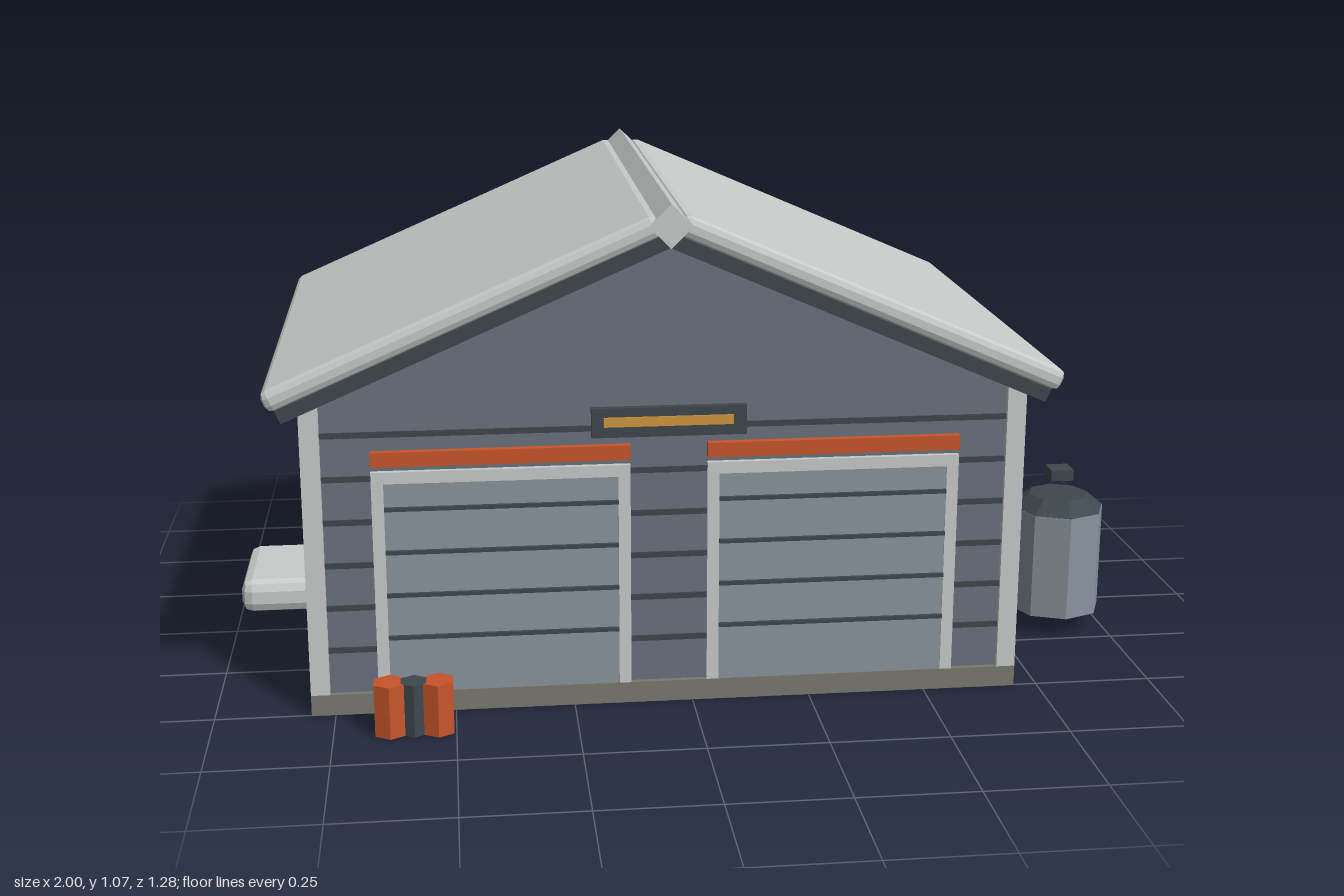
import * as THREE from 'three';
import { RoundedBoxGeometry } from 'three/addons/geometries/RoundedBoxGeometry.js';

const paint = (name, color) => new THREE.MeshStandardMaterial({ name, color, flatShading: true });

export function createModel() {
  const model = new THREE.Group();
  model.name = 'garage';

  const wall = paint('wall slate', 0x69727f);
  const trim = paint('light trim', 0xc9cbcb);
  const steel = paint('steel grey', 0x8a959e);
  const dark = paint('dark grey', 0x3f484e);
  const orange = paint('orange', 0xc8552b);
  const amber = paint('amber', 0xd0963f);
  const concrete = paint('concrete', 0x7a786f);

  const add = (name, geometry, material, parent = model) => {
    const mesh = new THREE.Mesh(geometry, material);
    mesh.name = name;
    parent.add(mesh);
    return mesh;
  };
  // Box given by its limits on each axis
  const box = (name, material, [x0, x1], [y0, y1], [z0, z1], parent = model) => {
    const mesh = add(name, new THREE.BoxGeometry(x1 - x0, y1 - y0, z1 - z0), material, parent);
    mesh.position.set((x0 + x1) / 2, (y0 + y1) / 2, (z0 + z1) / 2);
    return mesh;
  };

  const cx = -0.05, cz = -0.046;   // centre of the building
  const halfX = 0.75, halfZ = 0.549;
  const baseTop = 0.045, apex = 0.98;
  const pitch = 0.41, slope = Math.tan(pitch);

  // Foundation
  box('foundation', concrete, [cx - halfX, cx + halfX], [0, baseTop], [cz - halfZ, cz + halfZ]);

  // Gabled walls
  const inset = 0.012, wx = halfX - inset, wz = halfZ - inset;
  const eave = apex + 0.004 - slope * wx;
  const gable = new THREE.Shape([[-wx, baseTop], [wx, baseTop], [wx, eave], [0, apex + 0.004], [-wx, eave]]
    .map(([x, y]) => new THREE.Vector2(x, y)));
  add('walls', new THREE.ExtrudeGeometry(gable, { depth: wz * 2, bevelEnabled: false }), wall)
    .position.set(cx, 0, cz - wz);

  // Siding lines around all four walls
  for (let i = 0; i < 6; i++) {
    const y = 0.14 + i * 0.0925;
    box('sidingLine', dark, [cx - wx - 0.004, cx + wx + 0.004], [y - 0.006, y + 0.006],
      [cz - wz - 0.004, cz + wz + 0.004]);
  }

  // Corner posts
  for (const sx of [-1, 1]) for (const sz of [-1, 1]) {
    const post = add('cornerPost', new THREE.BoxGeometry(0.04, 0.625, 0.04), trim);
    post.position.set(cx + sx * (halfX - 0.02), baseTop + 0.3125, cz + sz * (halfZ - 0.02));
  }

  // Roof: a chamfered slab over a dark underlayer on each side
  for (const side of [1, -1]) {
    const half = new THREE.Group();
    half.name = side > 0 ? 'leftRoof' : 'rightRoof';
    half.position.set(cx, apex, cz);
    half.rotation.y = side > 0 ? 0 : Math.PI;
    const tilt = new THREE.Group();
    tilt.rotation.z = -pitch;
    half.add(tilt);
    add('roofSlab', new RoundedBoxGeometry(0.865, 0.046, 1.18, 1, 0.015), trim, tilt)
      .position.set(0.4325, 0.053, 0);
    box('roofUnderlayer', dark, [0, 0.852], [0, 0.034], [-0.575, 0.575], tilt);
    model.add(half);
  }
  const ridge = add('ridgeCap', new THREE.BoxGeometry(0.064, 0.064, 1.18), trim);
  ridge.position.set(cx, 1.026, cz);
  ridge.rotation.z = Math.PI / 4;

  // Two garage doors with frames, panel grooves and lintels
  const front = cz + wz;
  for (const x0 of [-0.66, 0.03]) {
    const door = new THREE.Group();
    door.name = 'garageDoor';
    const x1 = x0 + 0.53, z = [front - 0.01, front + 0.012];
    box('doorPanel', steel, [x0 + 0.024, x1 - 0.024], [baseTop, 0.502], [front - 0.01, front + 0.009], door);
    box('frameSide', trim, [x0, x0 + 0.025], [baseTop, 0.525], z, door);
    box('frameSide', trim, [x1 - 0.025, x1], [baseTop, 0.525], z, door);
    box('frameTop', trim, [x0 + 0.025, x1 - 0.025], [0.5, 0.525], z, door);
    for (let i = 0; i < 4; i++) {
      const y = 0.167 + i * 0.093;
      box('panelGroove', dark, [x0 + 0.025, x1 - 0.025], [y - 0.004, y + 0.004], [front, front + 0.017], door);
    }
    box('lintel', orange, [x0, x1], [0.537, 0.568], [front - 0.01, front + 0.017], door);
    model.add(door);
  }

  // Sign board with a plain amber strip
  box('signBoard', dark, [-0.21, 0.11], [0.585, 0.647], [front - 0.01, front + 0.016]);
  box('signStrip', amber, [-0.185, 0.083], [0.608, 0.628], [front + 0.012, front + 0.02]);

  // Side windows, built facing +x around their own centre
  const addWindow = (name, side, z, bars) => {
    const win = new THREE.Group();
    win.name = name;
    win.position.set(cx + side * wx, 0, z);
    win.rotation.y = side > 0 ? 0 : Math.PI;
    const d = [-0.01, 0.014];
    box('pane', amber, [-0.01, 0.008], [0.308, 0.453], [-0.108, 0.108], win);
    box('frameTop', trim, d, [0.45, 0.467], [-0.123, 0.123], win);
    for (const s of [-1, 1]) {
      box('frameSide', trim, d, [0.308, 0.45], [s * 0.1145 - 0.0085, s * 0.1145 + 0.0085], win);
    }
    box('sill', trim, [-0.01, 0.022], [0.297, 0.31], [-0.13, 0.13], win);
    if (bars) {
      box('uprightBar', trim, [0, 0.012], [0.31, 0.45], [-0.006, 0.006], win);
      box('crossBar', trim, [0, 0.011], [0.379, 0.39], [-0.106, 0.106], win);
    }
    model.add(win);
  };
  addWindow('leftWindow', 1, -0.112, true);
  addWindow('rightWindow', -1, 0.07, false);

  // Side door
  box('sideDoor', trim, [cx + wx - 0.01, cx + wx + 0.012], [baseTop, 0.323], [-0.44, -0.311]);

  // Storage tank
  const tank = new THREE.Group();
  tank.name = 'tank';
  tank.position.set(0.891, 0, 0.15);
  add('tankBody', new THREE.CylinderGeometry(0.106, 0.106, 0.24, 8), steel, tank).position.y = 0.168;
  add('tankShoulder', new THREE.CylinderGeometry(0.068, 0.106, 0.032, 8), dark, tank).position.y = 0.303;
  add('tankValve', new THREE.BoxGeometry(0.052, 0.025, 0.052), dark, tank).position.y = 0.367;
  model.add(tank);

  // Chamfered utility box beside the right wall
  add('utilityBox', new RoundedBoxGeometry(0.26, 0.08, 0.29, 1, 0.025), trim).position.set(-0.869, 0.04, -0.25);

  // Row of small drums by the front
  for (const [x, r, material] of [[-0.634, 0.036, orange], [-0.585, 0.03, dark], [-0.536, 0.036, orange]]) {
    add('drum', new THREE.CylinderGeometry(r, r, 0.112, 6), material).position.set(x, 0.056, 0.604);
  }

  return model;
}
